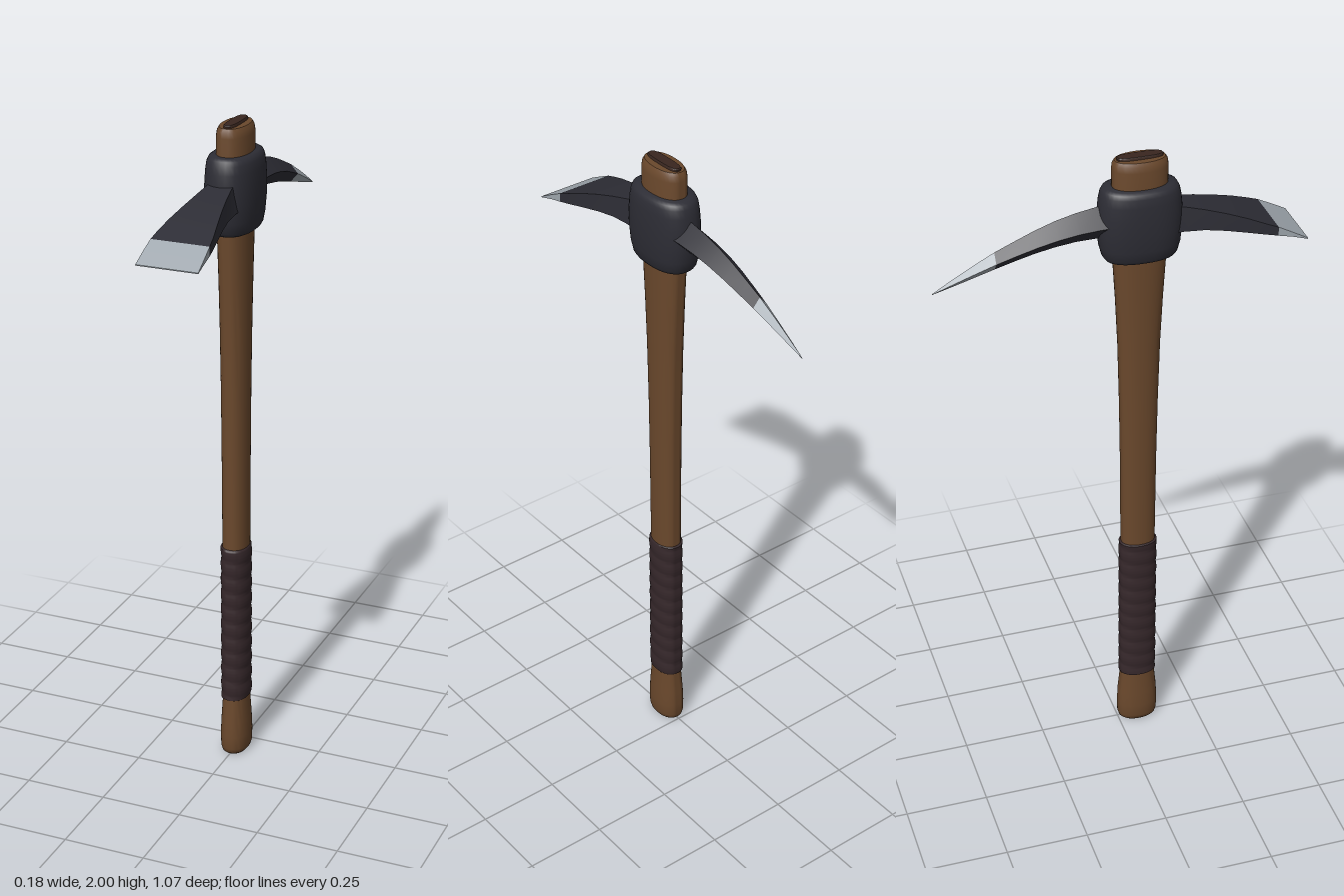
import * as THREE from 'three';
import { toCreasedNormals } from 'three/addons/utils/BufferGeometryUtils.js';

const CENTRE_Z = 0.064; // handle axis

const paint = (name, color) => {
  const m = new THREE.MeshStandardMaterial({ color });
  m.name = name;
  return m;
};

// Skin a list of rings (each an array of [x, y, z]) and cap both ends.
function loft(rings, crease = 0.7) {
  const n = rings[0].length;
  const pos = rings.flat(2);
  const index = [];
  for (let i = 0; i < rings.length - 1; i++) {
    for (let j = 0; j < n; j++) {
      const k = (j + 1) % n;
      const a = i * n + j, b = i * n + k, c = a + n, d = b + n;
      index.push(a, c, d, a, d, b);
    }
  }
  [0, rings.length - 1].forEach((r, end) => {
    const centre = pos.length / 3;
    for (let axis = 0; axis < 3; axis++) {
      pos.push(rings[r].reduce((sum, p) => sum + p[axis], 0) / n);
    }
    for (let j = 0; j < n; j++) {
      const a = r * n + j, b = r * n + (j + 1) % n;
      if (end) index.push(centre, b, a);
      else index.push(centre, a, b);
    }
  });
  const geo = new THREE.BufferGeometry();
  geo.setAttribute('position', new THREE.Float32BufferAttribute(pos, 3));
  geo.setIndex(index);
  return toCreasedNormals(geo, crease);
}

// Upright oval ring; power above 2 flattens the sides, bump swells it by angle.
function oval(y, rx, rz, power = 2, bump = () => 0, n = 36) {
  const ring = [];
  const bend = (v) => Math.sign(v) * Math.abs(v) ** (2 / power);
  for (let j = 0; j < n; j++) {
    const a = (j / n) * Math.PI * 2;
    const b = bump(a);
    ring.push([(rx + b) * bend(Math.cos(a)), y, CENTRE_Z + (rz + b) * bend(Math.sin(a))]);
  }
  return ring;
}

export function createModel() {
  const wood = paint('wood', 0x6a482c);
  const iron = paint('dark iron', 0x2d2d35);
  const steel = paint('bare steel', 0xa0a8af);
  const leather = paint('leather wrap', 0x35272a);
  const wedgeWood = paint('dark wedge wood', 0x39261f);

  const model = new THREE.Group();
  model.name = 'pickMattock';
  const add = (name, geo, material) => {
    const mesh = new THREE.Mesh(geo, material);
    mesh.name = name;
    model.add(mesh);
  };

  // Handle: swollen foot, slim shaft, flare into the head [y, half x, half z]
  const handle = [
    [0, 0.034, 0.052], [0.006, 0.039, 0.059], [0.02, 0.043, 0.063], [0.06, 0.044, 0.064],
    [0.11, 0.042, 0.062], [0.18, 0.038, 0.055], [0.3, 0.037, 0.052], [0.7, 0.038, 0.053],
    [1.0, 0.039, 0.055], [1.2, 0.04, 0.058], [1.4, 0.042, 0.063], [1.55, 0.044, 0.07],
    [1.68, 0.046, 0.078], [1.8, 0.047, 0.08], [1.965, 0.047, 0.081], [1.982, 0.044, 0.079],
    [1.992, 0.038, 0.073],
  ];
  add('handle', loft(handle.map(([y, x, z]) => oval(y, x, z, 2.2))), wood);

  // Grip: spiral leather wrap with soft ridges
  const wrap = [];
  const y0 = 0.185, y1 = 0.698, turns = 10, steps = 100;
  wrap.push(oval(y0, 0.036, 0.052, 2.2));
  for (let i = 0; i <= steps; i++) {
    const t = i / steps;
    const ridge = (a) => 0.003 * Math.abs(Math.sin(Math.PI * t * turns - a / 2));
    wrap.push(oval(y0 + 0.004 + t * (y1 - y0 - 0.008), 0.0405, 0.0565, 2.2, ridge));
  }
  wrap.push(oval(y1, 0.036, 0.052, 2.2));
  add('gripWrap', loft(wrap, 1.0), leather);

  // Wedge driven into the top of the handle
  const wedge = [[1.95, 0.016, 0.064], [1.997, 0.018, 0.067], [2.0, 0.016, 0.064]];
  add('wedge', loft(wedge.map(([y, x, z]) => oval(y, x, z, 3))), wedgeWood);

  // Eye: rounded collar around the handle
  const collar = [
    [1.686, 0.052, 0.092], [1.69, 0.06, 0.102], [1.7, 0.066, 0.109], [1.73, 0.071, 0.117],
    [1.78, 0.075, 0.122], [1.83, 0.075, 0.122], [1.87, 0.073, 0.118], [1.895, 0.07, 0.113],
    [1.907, 0.065, 0.107], [1.913, 0.056, 0.097],
  ];
  add('eyeCollar', loft(collar.map(([y, x, z]) => oval(y, x, z, 2.4)), 0.9), iron);

  // Pick: diamond section drooping to a point [z, top, bottom, half width]
  const pick = [
    [0, 1.865, 1.755, 0.05], [-0.06, 1.857, 1.758, 0.046], [-0.12, 1.847, 1.757, 0.043],
    [-0.18, 1.832, 1.75, 0.039], [-0.24, 1.811, 1.739, 0.034], [-0.3, 1.786, 1.724, 0.028],
    [-0.355, 1.762, 1.709, 0.0225], [-0.42, 1.728, 1.69, 0.015],
    [-0.48, 1.694, 1.673, 0.008], [-0.535, 1.661, 1.658, 0.001],
  ].map(([z, top, bottom, w]) => {
    const mid = (top + bottom) / 2;
    return [[w, mid, z], [0, top, z], [-w, mid, z], [0, bottom, z]];
  });
  add('pickArm', loft(pick.slice(0, 7), 0.4), iron);
  add('pickTip', loft(pick.slice(6), 0.4), steel);

  // Adze: flat blade flaring to a wide edge [z, top, bottom, half width, top taper]
  const adze = [
    [0.06, 1.855, 1.76, 0.048, 0.7], [0.18, 1.839, 1.766, 0.049, 0.78],
    [0.24, 1.825, 1.764, 0.054, 0.88], [0.3, 1.809, 1.756, 0.062, 0.95],
    [0.36, 1.79, 1.746, 0.073, 0.98], [0.41, 1.771, 1.737, 0.082, 1],
    [0.447, 1.757, 1.73, 0.087, 1], [0.49, 1.735, 1.721, 0.09, 1],
    [0.535, 1.711, 1.708, 0.092, 1],
  ].map(([z, top, bottom, w, k]) => [
    [w * k, top, z], [w, bottom, z], [-w, bottom, z], [-w * k, top, z],
  ]);
  add('adzeArm', loft(adze.slice(0, 7), 0.4), iron);
  add('adzeEdge', loft(adze.slice(6), 0.4), steel);

  return model;
}
